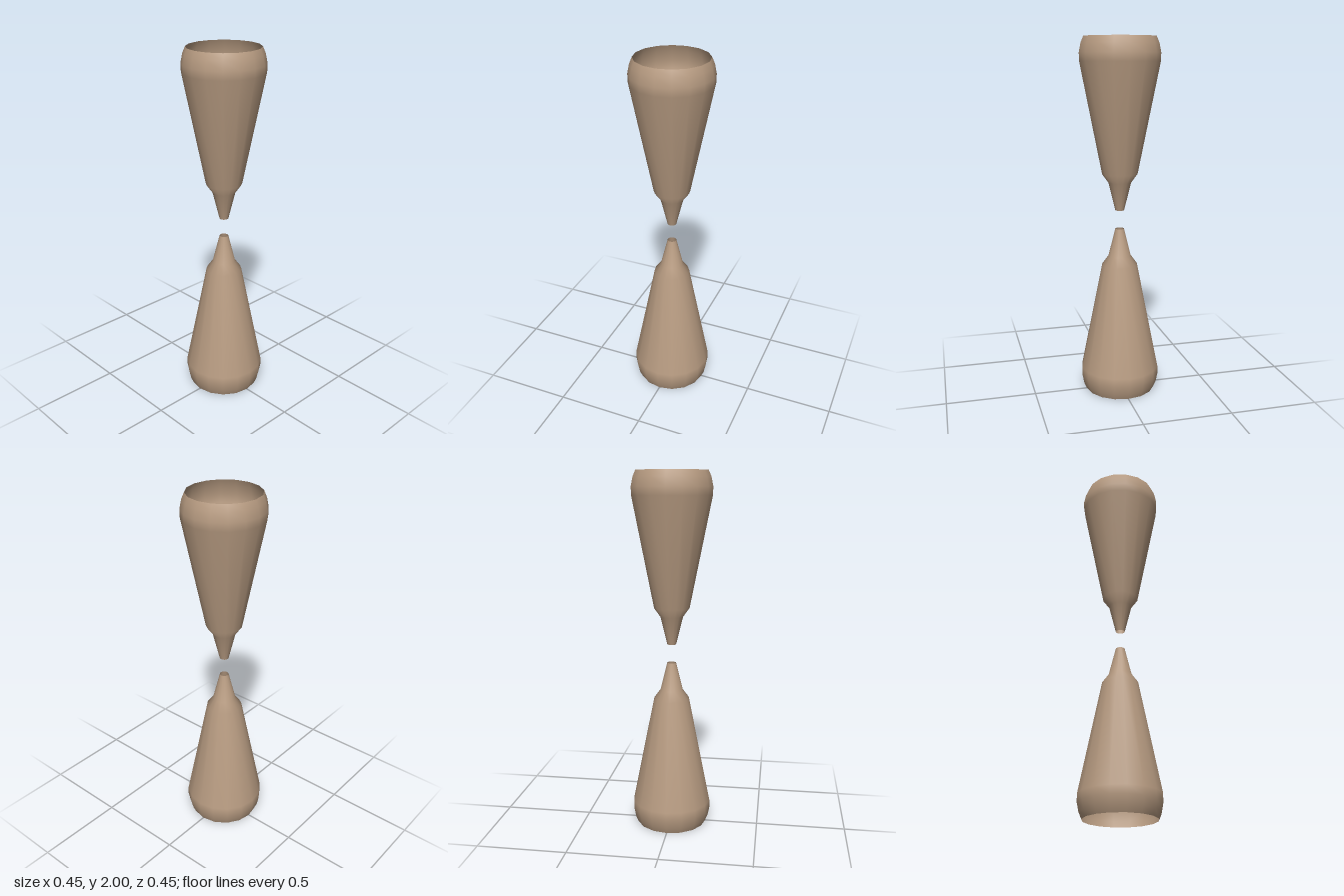
import * as THREE from 'three';

// Cone outline as [radius, height], from the open base to the narrow nozzle
const PROFILE = [
  [0.198, 0], [0.213, 0.035], [0.223, 0.085], [0.222, 0.13],
  [0.1, 0.74], [0.064, 0.79], [0.025, 0.947],
];

export function createModel() {
  const model = new THREE.Group();
  model.name = 'facingCones';

  const material = new THREE.MeshStandardMaterial({ color: 0xb89c82, side: THREE.DoubleSide });
  const shell = new THREE.LatheGeometry(PROFILE.map(([r, y]) => new THREE.Vector2(r, y)), 16);

  // Lower cone, nozzle pointing up
  const lower = new THREE.Mesh(shell, material);
  lower.name = 'lowerCone';

  // Upper cone, the same shell turned over so the nozzles face each other
  const upper = new THREE.Mesh(shell, material);
  upper.name = 'upperCone';
  upper.rotation.x = Math.PI;
  upper.position.y = 2;

  model.add(lower, upper);
  return model;
}
